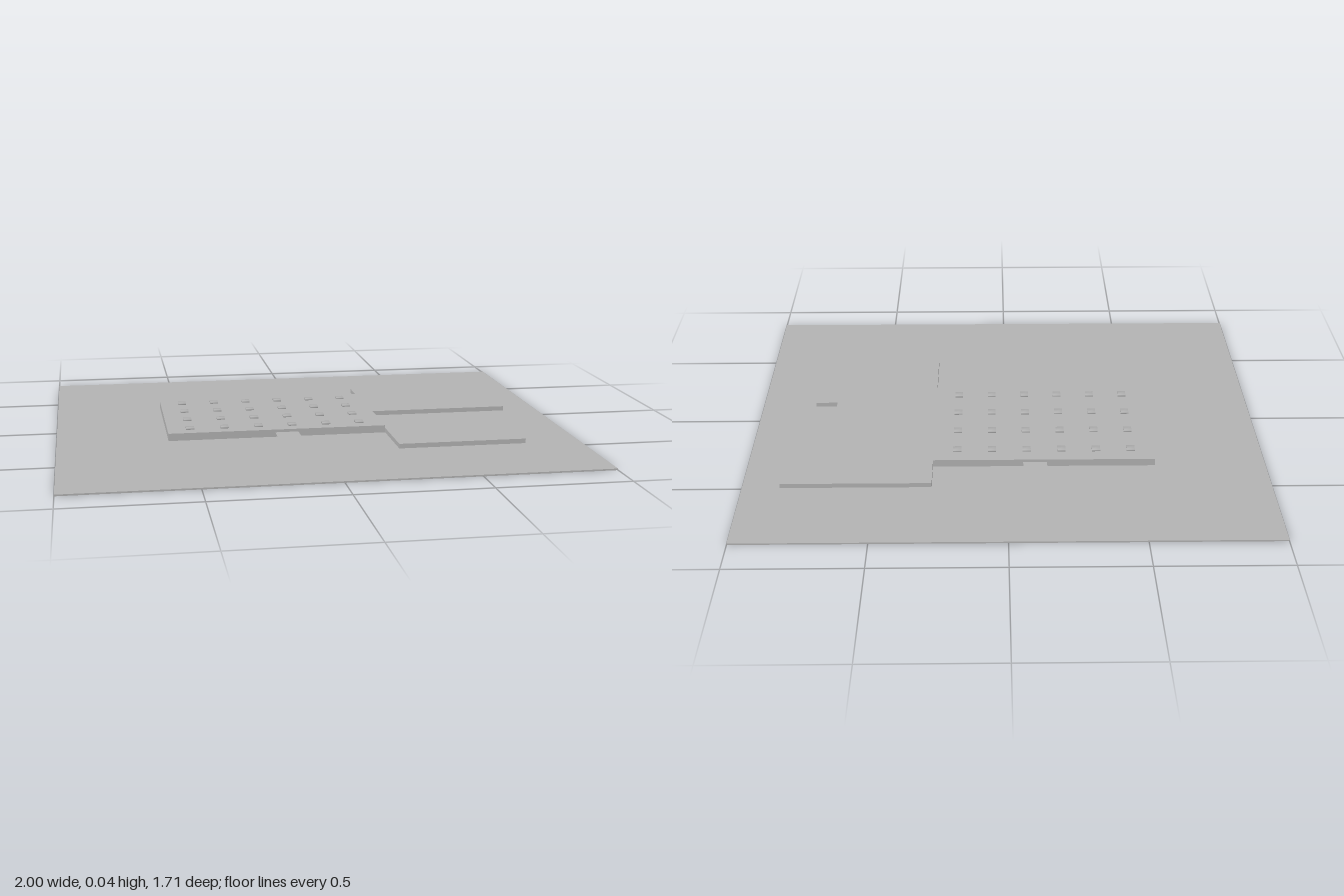
import * as THREE from 'three';
import { mergeVertices } from 'three/addons/utils/BufferGeometryUtils.js';

export function createModel() {
  const group = new THREE.Group();
  const grey = new THREE.MeshStandardMaterial({ color: 0xb2b2b2, side: THREE.DoubleSide });
  grey.name = 'plain grey';

  const add = (name, geometry) => {
    const mesh = new THREE.Mesh(geometry, grey);
    mesh.name = name;
    group.add(mesh);
    return mesh;
  };

  // Box given by its limits on each axis
  const slab = (name, x0, x1, y0, y1, z0, z1) =>
    add(name, new THREE.BoxGeometry(x1 - x0, y1 - y0, z1 - z0))
      .position.set((x0 + x1) / 2, (y0 + y1) / 2, (z0 + z1) / 2);

  // Thin single-sheet walkway at a given height
  const sheet = (name, x0, x1, y, z0, z1) =>
    add(name, new THREE.PlaneGeometry(x1 - x0, z1 - z0).rotateX(-Math.PI / 2))
      .position.set((x0 + x1) / 2, y, (z0 + z1) / 2);

  // Ground plate
  slab('ground', -1, 1, 0, 0.006, -0.857, 0.857);

  // Main raised block and the two lower blocks beside it
  slab('mainBlock', -0.572, 0.285, 0.006, 0.035, -0.36, 0.21);
  slab('rearSideBlock', 0.285, 0.857, 0.006, 0.024, -0.503, -0.075);
  slab('frontSideBlock', 0.285, 0.783, 0.006, 0.024, 0.107, 0.46);

  // Walkways leaving the main block
  sheet('rearWalkway', -0.155, -0.063, 0.024, -0.642, -0.36);
  sheet('frontWalkway', -0.155, -0.063, 0.024, 0.21, 0.637);
  sheet('sideWalkway', 0.285, 0.695, 0.024, 0.027, 0.107);

  // Grid of small soft-shaded roof studs
  let stud = new THREE.BoxGeometry(0.032, 0.01, 0.032);
  stud.deleteAttribute('normal');
  stud.deleteAttribute('uv');
  stud = mergeVertices(stud);
  stud.computeVertexNormals();
  for (let i = 0; i < 6; i++) {
    for (let j = 0; j < 4; j++) {
      add('roofStud', stud).position.set(-0.483 + i * 0.135, 0.037, -0.286 + j * 0.143);
    }
  }

  return group;
}
